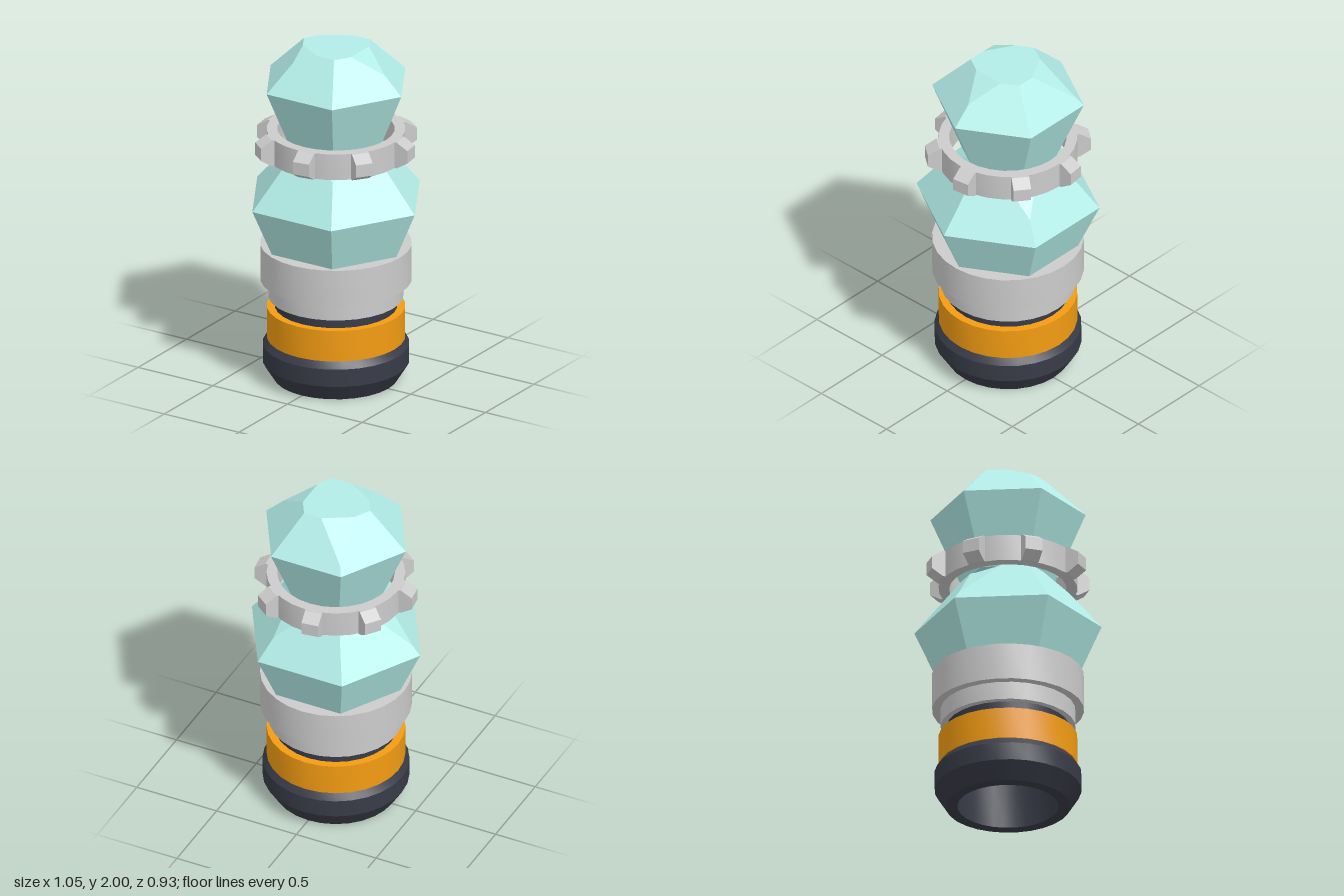
import * as THREE from 'three';
import { toCreasedNormals } from 'three/addons/utils/BufferGeometryUtils.js';

const mat = (color, extra = {}) => new THREE.MeshStandardMaterial({ color, ...extra });

// Turned part from a profile of [radius, y], outer side listed upwards
function turned(name, profile, material) {
  const points = profile.map(([r, y]) => new THREE.Vector2(r, y));
  const mesh = new THREE.Mesh(toCreasedNormals(new THREE.LatheGeometry(points, 28), 0.5), material);
  mesh.name = name;
  return mesh;
}

// Six-sided gem: bottom, girdle and top are [radius, y]; cuts maps a corner
// number to how far its corner facet reaches down the crown (0 to 1)
function gem(name, bottom, girdle, top, cuts, material) {
  const corner = ([r, y], k) => {
    const a = (k * Math.PI) / 3;
    return new THREE.Vector3(r * Math.cos(a), y, -r * Math.sin(a));
  };
  const mid = (k) => corner(top, k).lerp(corner(top, k + 1), 0.5);
  const cutPoint = (k) => corner(top, k).lerp(corner(girdle, k), cuts[k % 6]);
  const isCut = (k) => cuts[k % 6] !== undefined;

  const positions = [];
  const face = (pts) => {
    for (let i = 1; i < pts.length - 1; i++) {
      for (const p of [pts[0], pts[i], pts[i + 1]]) positions.push(p.x, p.y, p.z);
    }
  };

  const table = [], base = [];
  for (let k = 0; k < 6; k++) {
    const n = k + 1;
    // pavilion side
    face([corner(bottom, k), corner(bottom, n), corner(girdle, n), corner(girdle, k)]);
    // crown side
    face([
      corner(girdle, k), corner(girdle, n),
      isCut(n) ? cutPoint(n) : corner(top, n),
      mid(k),
      isCut(k) ? cutPoint(k) : corner(top, k),
    ]);
    // corner facet
    if (isCut(k)) face([cutPoint(k), mid(k), mid(k + 5)]);
    else table.push(corner(top, k));
    table.push(mid(k));
    base.unshift(corner(bottom, k));
  }
  face(table);
  face(base);

  const geometry = new THREE.BufferGeometry();
  geometry.setAttribute('position', new THREE.Float32BufferAttribute(positions, 3));
  geometry.computeVertexNormals();
  const mesh = new THREE.Mesh(geometry, material);
  mesh.name = name;
  return mesh;
}

// Collar with eight bevelled teeth
function toothedRing(material) {
  const ring = new THREE.Group();
  ring.name = 'toothedRing';
  const y0 = 1.345, y1 = 1.5;
  ring.add(turned('ringBand', [[0.33, y0], [0.39, y0], [0.39, y1], [0.33, y1], [0.33, y0]], material));

  const outline = new THREE.Shape([
    [0.36, y0], [0.4, y0], [0.465, y0 + 0.04], [0.465, y1 - 0.04], [0.4, y1], [0.36, y1],
  ].map(([x, y]) => new THREE.Vector2(x, y)));
  const tooth = new THREE.ExtrudeGeometry(outline, { depth: 0.1, bevelEnabled: false });
  tooth.translate(0, 0, -0.05);
  for (let i = 0; i < 8; i++) {
    const mesh = new THREE.Mesh(tooth, material);
    mesh.name = 'ringTooth';
    mesh.rotation.y = THREE.MathUtils.degToRad(8 + i * 45);
    ring.add(mesh);
  }
  return ring;
}

export function createModel() {
  const grey = mat(0xcccccc);
  const dark = mat(0x383b47);
  const amber = mat(0xf39c12);
  const crystal = mat(0xb2ece7, { flatShading: true });

  const model = new THREE.Group();
  model.name = 'crystalCartridge';

  // Hollow foot
  model.add(turned('foot', [
    [0, 0.27], [0.285, 0.27], [0.285, 0], [0.35, 0], [0.413, 0.1],
    [0.413, 0.205], [0.385, 0.245], [0, 0.245],
  ].slice(0, 7).concat([[0.345, 0.245]]), dark));
  // Coloured band and the neck inside it
  model.add(turned('band', [[0.34, 0.245], [0.39, 0.245], [0.39, 0.43], [0.34, 0.43]], amber));
  model.add(turned('neck', [[0.345, 0.24], [0.345, 0.5]], dark));
  // Stepped socket
  model.add(turned('socket', [
    [0, 0.49], [0.38, 0.49], [0.38, 0.595], [0.427, 0.595], [0.427, 0.81], [0, 0.81],
  ], grey));

  // Stacked gems with the collar between them
  model.add(gem('lowerCrystal', [0.4, 0.8], [0.527, 1.09], [0.265, 1.4],
    { 1: 0.6, 3: 0.82, 5: 0.3 }, crystal));
  model.add(toothedRing(grey));
  model.add(gem('upperCrystal', [0.265, 1.38], [0.437, 1.787], [0.215, 2],
    { 0: 0.5, 2: 0.8, 4: 0.25 }, crystal));

  return model;
}
